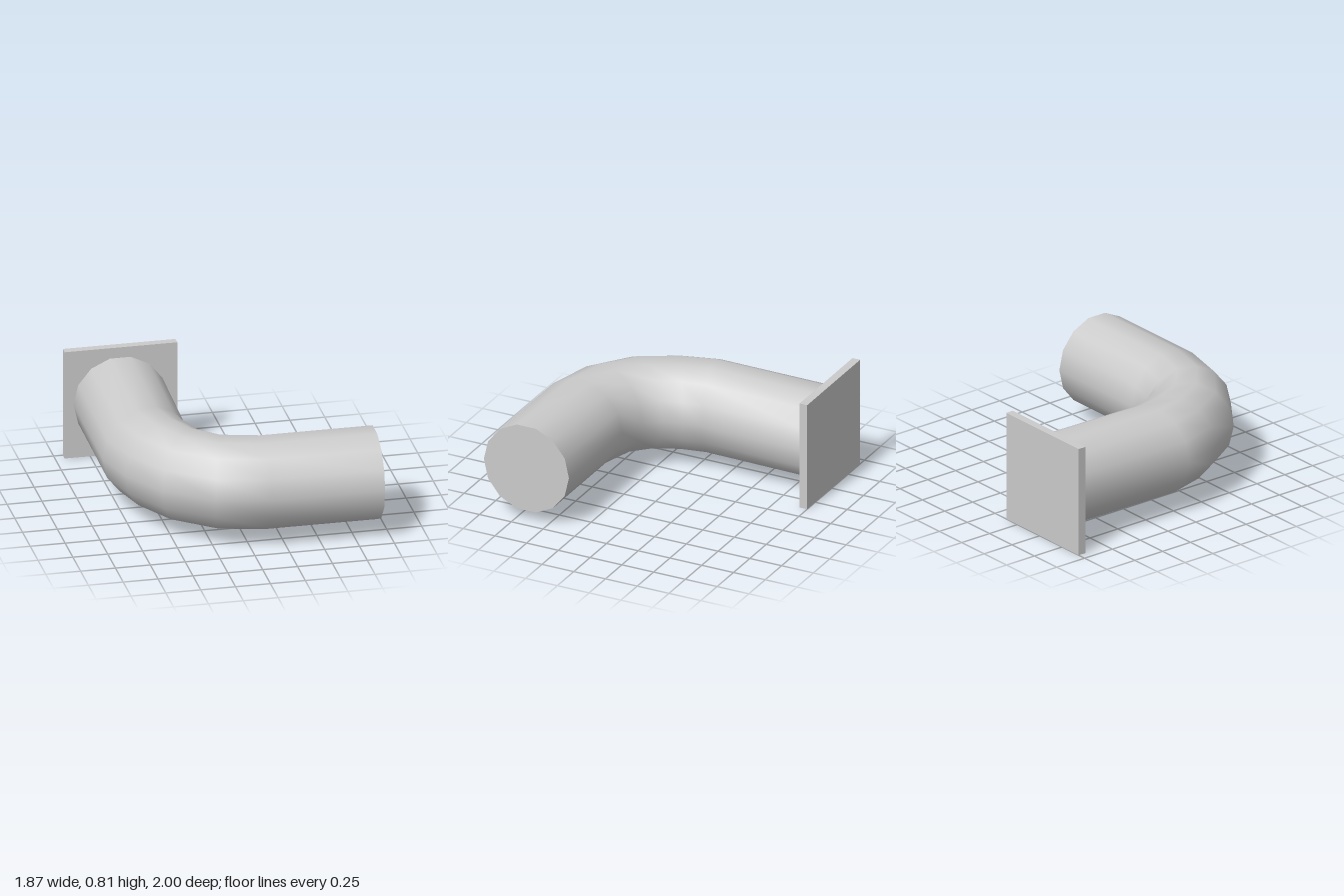
import * as THREE from 'three';

const SIDES = 14;
const RADIUS = 0.335;
const AXIS_Y = 0.406;

// Pipe rings along the bend: outer x, outer z, inner x, inner z
const RINGS = [
  [-0.87, -0.94, -0.20, -0.94],
  [-0.877, 0.04, -0.222, -0.12],
  [-0.785, 0.35, -0.20, 0.02],
  [-0.59, 0.67, -0.16, 0.16],
  [-0.26, 0.91, -0.07, 0.27],
  [0.125, 1.0, 0.125, 0.33],
  [0.934, 1.0, 0.934, 0.33],
];

// Points of one ring, spanned by its outer and inner edge
function ringPoints([ox, oz, ix, iz]) {
  const points = [];
  for (let j = 0; j < SIDES; j++) {
    const a = (j / SIDES) * Math.PI * 2;
    const c = Math.cos(a) / 2;
    points.push(
      (ox + ix) / 2 + c * (ox - ix),
      AXIS_Y + Math.sin(a) * RADIUS,
      (oz + iz) / 2 + c * (oz - iz)
    );
  }
  return points;
}

function pipeGeometry() {
  const positions = RINGS.flatMap(ringPoints);
  const index = [];
  for (let i = 0; i < RINGS.length - 1; i++) {
    for (let j = 0; j < SIDES; j++) {
      const k = (j + 1) % SIDES;
      const a = i * SIDES + j, b = i * SIDES + k;
      index.push(a, a + SIDES, b, b, a + SIDES, b + SIDES);
    }
  }
  // Flat end caps with their own vertices, so the rims stay sharp
  [RINGS[0], RINGS[RINGS.length - 1]].forEach((ring, end) => {
    const start = positions.length / 3;
    positions.push(...ringPoints(ring));
    for (let j = 1; j < SIDES - 1; j++) {
      if (end) index.push(start, start + j + 1, start + j);
      else index.push(start, start + j, start + j + 1);
    }
  });
  const geometry = new THREE.BufferGeometry();
  geometry.setAttribute('position', new THREE.Float32BufferAttribute(positions, 3));
  geometry.setIndex(index);
  geometry.computeVertexNormals();
  return geometry;
}

export function createModel() {
  const model = new THREE.Group();
  model.name = 'pipeElbow';
  const material = new THREE.MeshStandardMaterial({ color: 0xcccccc });

  // Bent pipe
  const pipe = new THREE.Mesh(pipeGeometry(), material);
  pipe.name = 'bentPipe';
  model.add(pipe);

  // Square mounting plate at the back end
  const plate = new THREE.Mesh(new THREE.BoxGeometry(0.808, 0.812, 0.06), material);
  plate.name = 'mountingPlate';
  plate.position.set(-0.53, AXIS_Y, -0.97);
  model.add(plate);

  return model;
}
